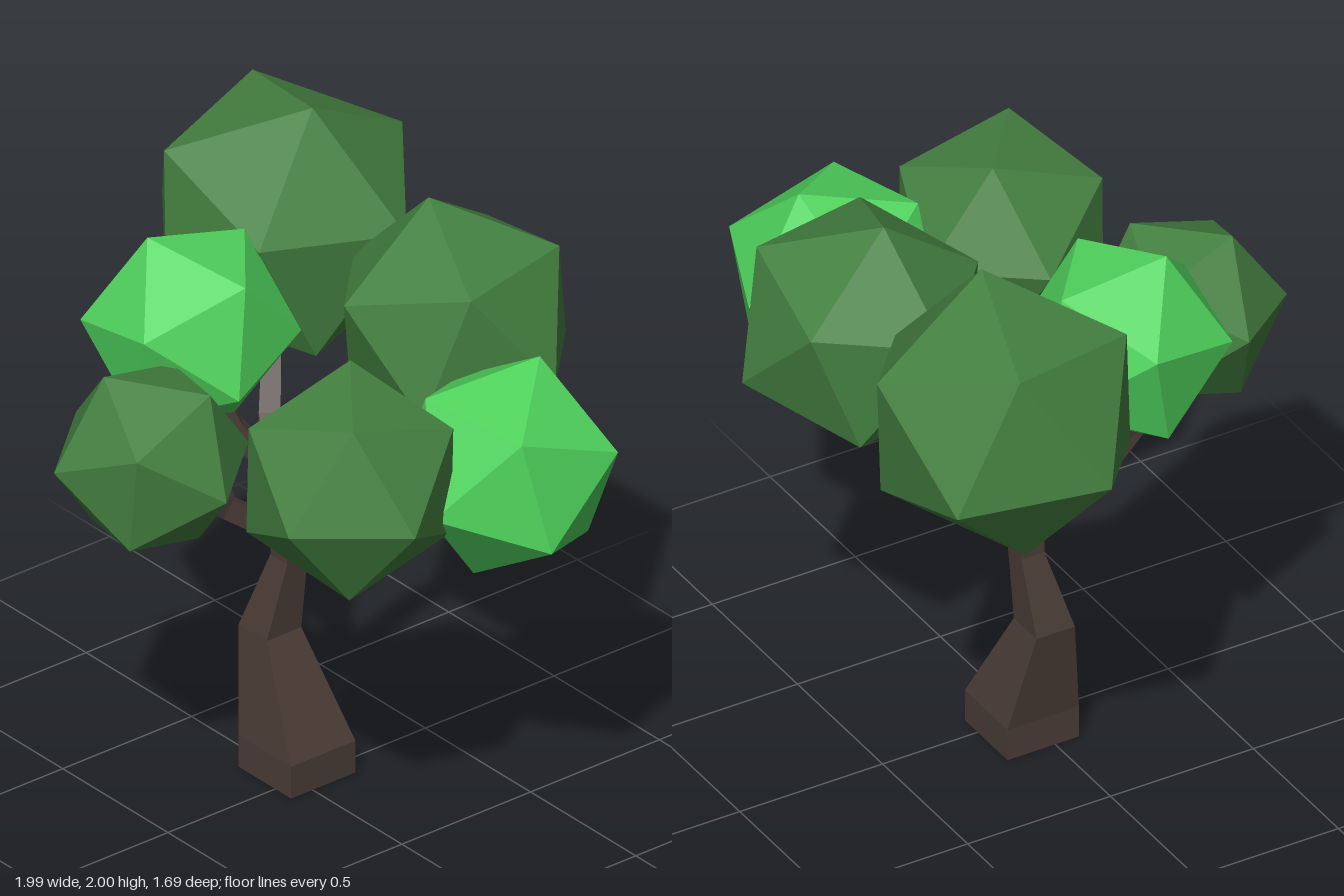
import * as THREE from 'three';

const V = (p) => new THREE.Vector3(...p);

// Square-section limb through stations [x, y, z, halfWidth]; level keeps the sections horizontal
function limbGeometry(stations, level = false) {
  const pts = stations.map(V);
  const pos = [], idx = [];
  const up = new THREE.Vector3(0, 1, 0);
  stations.forEach((s, i) => {
    const t = pts[Math.min(i + 1, pts.length - 1)].clone().sub(pts[Math.max(i - 1, 0)]).normalize();
    const x = level ? new THREE.Vector3(1, 0, 0) : up.clone().cross(t).normalize();
    const y = (level ? up : t).clone().cross(x);
    for (const [a, b] of [[1, 1], [-1, 1], [-1, -1], [1, -1]]) {
      const c = pts[i].clone().addScaledVector(x, a * s[3]).addScaledVector(y, b * s[3]);
      pos.push(c.x, c.y, c.z);
    }
    if (i === 0) return;
    for (let k = 0; k < 4; k++) {
      const a = (i - 1) * 4 + k, b = (i - 1) * 4 + (k + 1) % 4;
      idx.push(a, b, b + 4, a, b + 4, a + 4);
    }
  });
  const e = (stations.length - 1) * 4;
  idx.push(0, 2, 1, 0, 3, 2, e, e + 1, e + 2, e, e + 2, e + 3);
  const g = new THREE.BufferGeometry();
  g.setAttribute('position', new THREE.Float32BufferAttribute(pos, 3));
  g.setIndex(idx);
  const flat = g.toNonIndexed();
  flat.computeVertexNormals();
  return flat;
}

// Twenty-sided leaf clump turned so that two neighbouring corners point along u and v
function clumpGeometry(radius, u, v) {
  const a = V(u).normalize(), b = V(v).normalize();
  const z = a.clone().add(b).normalize();
  const y = a.clone().sub(b);
  y.addScaledVector(z, -y.dot(z)).normalize();
  const x = y.clone().cross(z);
  return new THREE.IcosahedronGeometry(radius, 0).applyMatrix4(new THREE.Matrix4().makeBasis(x, y, z));
}

export function createModel() {
  const tree = new THREE.Group();
  tree.name = 'tree';
  const bark = new THREE.MeshStandardMaterial({ color: 0x4a3c36 });
  bark.name = 'bark';
  const darkLeaf = new THREE.MeshStandardMaterial({ color: 0x448040 });
  darkLeaf.name = 'dark leaf green';
  const brightLeaf = new THREE.MeshStandardMaterial({ color: 0x4fd25c });
  brightLeaf.name = 'bright leaf green';

  const add = (name, geometry, material) => {
    const mesh = new THREE.Mesh(geometry, material);
    mesh.name = name;
    tree.add(mesh);
    return mesh;
  };

  // Trunk, with a crook at mid height
  add('trunk', limbGeometry([
    [-0.05, 0, -0.042, 0.125], [-0.05, 0.11, -0.042, 0.125],
    [-0.167, 0.45, -0.033, 0.067], [-0.122, 0.7, -0.07, 0.04],
    [-0.115, 0.83, -0.07, 0.042],
  ], true), bark);

  // Branches and their forks
  const limbs = {
    rightBranch: [[-0.1, 0.78, -0.07, 0.036], [0.34, 1.05, -0.06, 0.036], [0.41, 1.11, -0.05, 0.036]],
    rightFrontTwig: [[0.34, 1.05, -0.06, 0.03], [0.5, 1.25, 0.12, 0.025]],
    rightBackTwig: [[0.34, 1.05, -0.06, 0.03], [0.56, 1.22, -0.2, 0.025]],
    leftBranch: [[-0.11, 0.77, -0.07, 0.038], [-0.2, 0.99, -0.065, 0.036], [-0.25, 1.12, -0.1, 0.033], [-0.42, 1.35, -0.25, 0.027]],
    leftFrontTwig: [[-0.2, 0.98, -0.065, 0.032], [-0.26, 1.12, 0.03, 0.03], [-0.31, 1.3, 0.1, 0.026]],
    backBranch: [[-0.11, 0.77, -0.08, 0.034], [-0.1, 1.03, -0.29, 0.031], [0, 1.25, -0.4, 0.026]],
    frontBranch: [[-0.12, 0.78, -0.06, 0.034], [-0.16, 0.94, 0.16, 0.033], [-0.13, 1.09, 0.36, 0.029], [-0.08, 1.2, 0.47, 0.025]],
    frontTwig: [[-0.16, 0.94, 0.15, 0.027], [-0.22, 1.12, 0.18, 0.026], [-0.28, 1.3, 0.19, 0.024]],
  };
  for (const [name, stations] of Object.entries(limbs)) add(name, limbGeometry(stations), bark);

  // Leaf clumps: name, material, centre, radius, two neighbouring corner directions
  const clumps = [
    ['backLeftClump', darkLeaf, [-0.56, 1.57, -0.41], 0.455, [0.145, 0.43, 0.01], [0.43, 0.07, -0.12]],
    ['backClump', darkLeaf, [0.165, 1.5, -0.48], 0.4, [0.085, -0.14, -0.365], [0.38, -0.09, -0.085]],
    ['backRightClump', brightLeaf, [0.68, 1.3, -0.26], 0.355, [0.01, 0.33, -0.13], [0.27, 0.095, -0.21]],
    ['frontRightClump', darkLeaf, [0.55, 1.37, 0.243], 0.362, [0.127, -0.025, 0.34], [0.35, -0.03, 0.04]],
    ['frontClump', darkLeaf, [-0.022, 1.306, 0.547], 0.312, [-0.095, 0.28, 0.113], [-0.1, 0.01, 0.29]],
    ['frontLeftClump', brightLeaf, [-0.311, 1.497, 0.157], 0.333, [-0.073, 0.3, 0.108], [0.13, 0.1, 0.29]],
  ];
  for (const [name, material, centre, radius, u, v] of clumps) {
    add(name, clumpGeometry(radius, u, v), material).position.set(...centre);
  }
  return tree;
}
